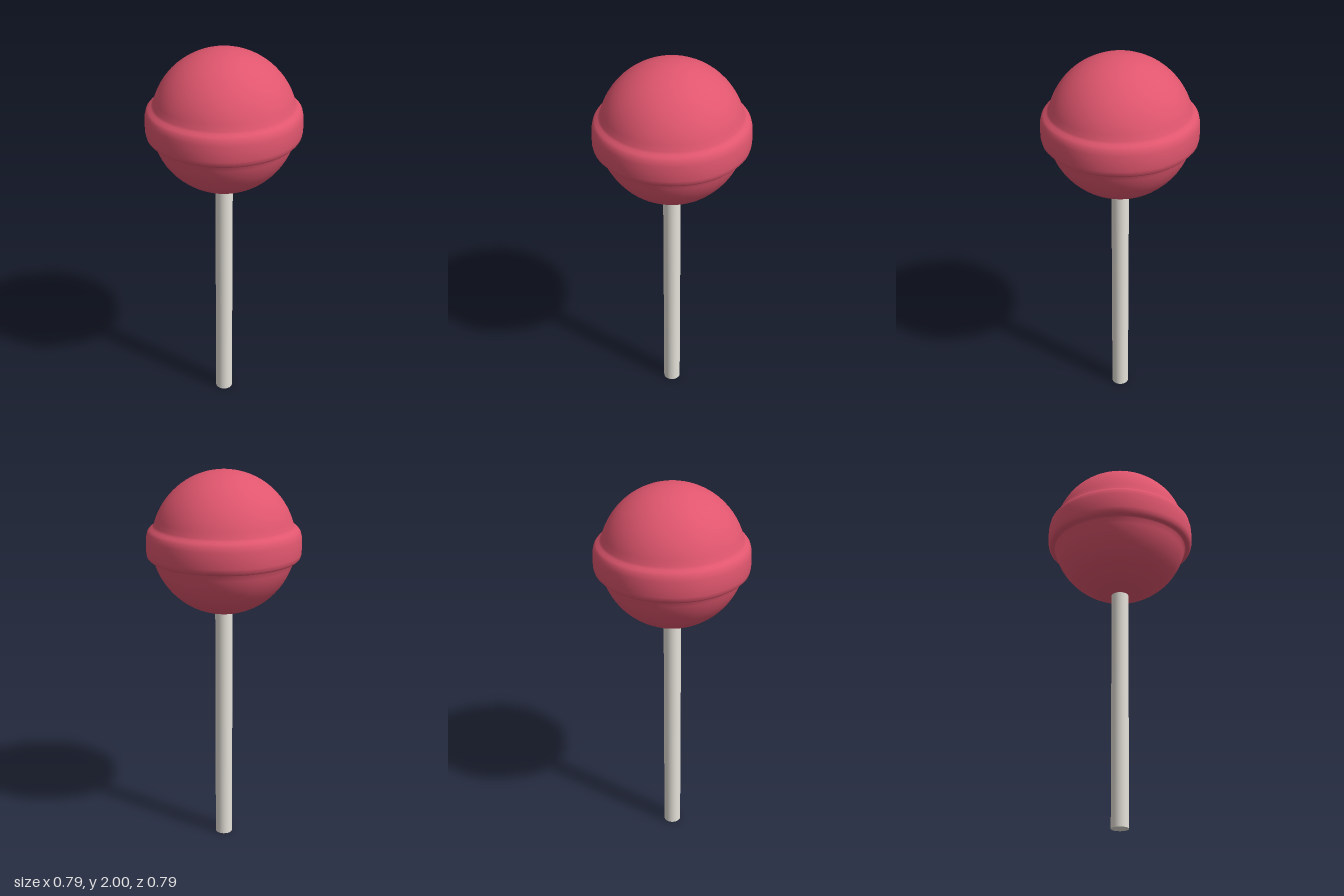
import * as THREE from 'three';
import { mergeVertices } from 'three/addons/utils/BufferGeometryUtils.js';

const CENTER_Y = 1.635, RADIUS = 0.365;

// Points along the ball's outline between two latitudes (degrees)
function arc(from, to, steps) {
  const pts = [];
  for (let i = 0; i <= steps; i++) {
    const a = THREE.MathUtils.degToRad(from + (to - from) * i / steps);
    pts.push(new THREE.Vector2(Math.max(0, Math.cos(a) * RADIUS), CENTER_Y + Math.sin(a) * RADIUS));
  }
  return pts;
}

function createCandy() {
  // Lower half, raised band, upper half
  const band = [
    [0.362, 1.554], [0.378, 1.557], [0.388, 1.568], [0.393, 1.59], [0.394, 1.63],
    [0.392, 1.67], [0.386, 1.695], [0.375, 1.709], [0.361, 1.718],
  ].map(([r, y]) => new THREE.Vector2(r, y));
  const profile = [...arc(-90, -13.5, 16), ...band, ...arc(15, 90, 16)];

  const lathe = new THREE.LatheGeometry(profile, 64);
  lathe.deleteAttribute('uv');
  lathe.deleteAttribute('normal');
  const geometry = mergeVertices(lathe, 1e-4);

  // Faint hand-moulded unevenness
  const pos = geometry.attributes.position;
  const v = new THREE.Vector3();
  for (let i = 0; i < pos.count; i++) {
    v.fromBufferAttribute(pos, i);
    const angle = Math.atan2(v.z, v.x);
    const lat = (v.y - CENTER_Y) / RADIUS;
    const fade = Math.max(0, 1 - lat * lat);
    const k = 1 + 0.005 * fade * Math.sin(angle * 5 + lat * 4) * Math.cos(angle * 2 - lat * 3);
    pos.setXYZ(i, v.x * k, v.y, v.z * k);
  }
  geometry.computeVertexNormals();

  const candy = new THREE.Mesh(geometry, new THREE.MeshStandardMaterial({ color: 0xe0566e }));
  candy.name = 'candy';
  return candy;
}

function createStick() {
  // Runs from the ground into the candy
  const height = 1.4;
  const geometry = new THREE.CylinderGeometry(0.045, 0.045, height, 32);
  geometry.translate(0, height / 2, 0);
  const stick = new THREE.Mesh(geometry, new THREE.MeshStandardMaterial({ color: 0xe6e2da }));
  stick.name = 'stick';
  return stick;
}

export function createModel() {
  const model = new THREE.Group();
  model.name = 'lollipop';
  model.add(createCandy(), createStick());
  return model;
}
